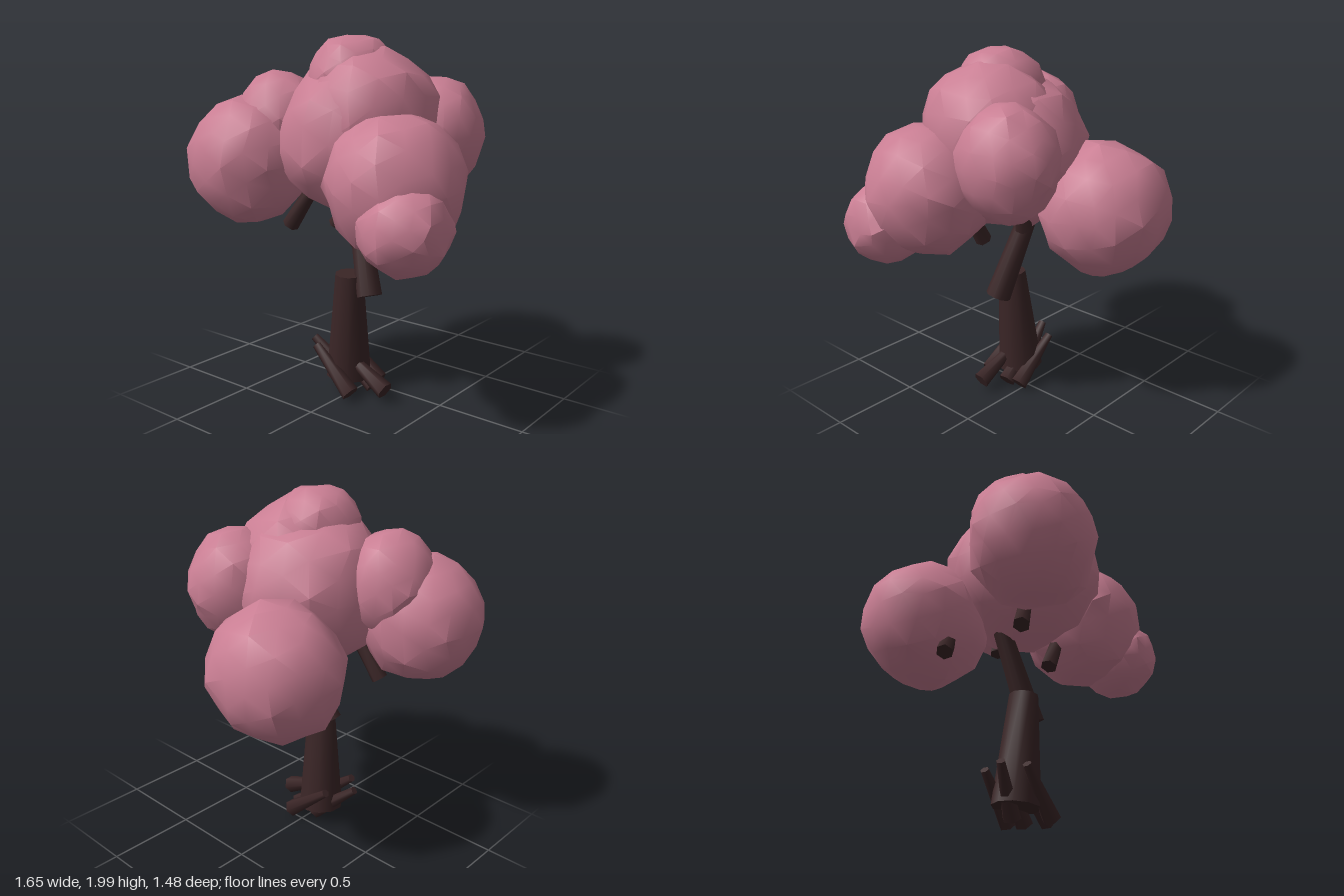
import * as THREE from 'three';
import { mergeVertices, toCreasedNormals } from 'three/addons/utils/BufferGeometryUtils.js';

const blossom = new THREE.MeshStandardMaterial({ color: 0xc97e93 });
blossom.name = 'blossom pink';
const bark = new THREE.MeshStandardMaterial({ color: 0x3a2526 });
bark.name = 'dark bark';

function seeded(seed) {
  return () => {
    seed = (seed * 16807) % 2147483647;
    return seed / 2147483647;
  };
}

// Lumpy low-poly foliage ball
function puff(name, [x, y, z], [rx, ry, rz], seed) {
  let geo = new THREE.IcosahedronGeometry(1, 2);
  geo.deleteAttribute('uv');
  geo.deleteAttribute('normal');
  geo = mergeVertices(geo, 1e-4);
  const rand = seeded(seed * 7919 + 13);
  const pos = geo.attributes.position;
  const v = new THREE.Vector3();
  for (let i = 0; i < pos.count; i++) {
    v.fromBufferAttribute(pos, i);
    v.x += (rand() - 0.5) * 0.09;
    v.y += (rand() - 0.5) * 0.09;
    v.z += (rand() - 0.5) * 0.09;
    pos.setXYZ(i, v.x * rx, v.y * ry, v.z * rz);
  }
  const mesh = new THREE.Mesh(toCreasedNormals(geo, 0.6), blossom);
  mesh.position.set(x, y, z);
  mesh.name = name;
  return mesh;
}

// Tapered wooden limb from a to b
function limb(name, a, b, ra, rb, sides) {
  const start = new THREE.Vector3(...a), end = new THREE.Vector3(...b);
  const dir = end.clone().sub(start);
  const geo = toCreasedNormals(new THREE.CylinderGeometry(rb, ra, dir.length(), sides), 1.1);
  const mesh = new THREE.Mesh(geo, bark);
  mesh.position.copy(start).add(end).multiplyScalar(0.5);
  mesh.quaternion.setFromUnitVectors(new THREE.Vector3(0, 1, 0), dir.normalize());
  mesh.name = name;
  return mesh;
}

export function createModel() {
  const tree = new THREE.Group();
  tree.name = 'blossomTree';

  // Trunk in two offset sections
  tree.add(limb('lowerTrunk', [-0.055, 0.09, 0.11], [-0.02, 0.7, 0.145], 0.13, 0.08, 10));
  tree.add(limb('upperTrunk', [0.112, 0.59, 0.13], [-0.1, 1.22, 0.01], 0.072, 0.047, 10));

  // Roots, thick at the ground end
  const roots = [
    [[-0.04, 0.045, 0.08], [-0.29, 0.265, 0.14]],
    [[0.07, 0.045, 0.25], [-0.19, 0.265, 0.235]],
    [[0.08, 0.045, 0.0], [-0.19, 0.265, 0.0]],
    [[0.24, 0.075, 0.155], [-0.05, 0.22, 0.14]],
    [[0.1, 0.045, 0.08], [-0.12, 0.21, 0.1]],
  ];
  roots.forEach(([a, b]) => tree.add(limb('root', a, b, 0.052, 0.024, 6)));

  // Branch stubs reaching into the foliage
  const branches = [
    [[-0.37, 0.875, -0.15], [-0.2, 1.12, -0.19]],
    [[-0.335, 0.955, 0.28], [-0.21, 1.15, 0.25]],
    [[0.12, 1.05, -0.08], [0.17, 1.3, -0.1]],
    [[0.11, 0.905, 0.24], [0.23, 1.14, 0.26]],
  ];
  branches.forEach(([a, b]) => tree.add(limb('branch', a, b, 0.047, 0.038, 6)));

  // Foliage: name, centre, radii
  const puffs = [
    ['crownFoliage', [0.03, 1.45, 0.125], [0.43, 0.42, 0.455]],
    ['upperFoliage', [0.13, 1.555, 0.145], [0.37, 0.38, 0.37]],
    ['topFoliage', [0.04, 1.76, 0.17], [0.235, 0.24, 0.25]],
    ['leftFoliage', [0.425, 1.265, 0.325], [0.36, 0.36, 0.355]],
    ['smallLeftFoliage', [0.597, 1.09, 0.48], [0.23, 0.225, 0.235]],
    ['rightFoliage', [-0.49, 1.32, 0.415], [0.335, 0.35, 0.335]],
    ['smallRightFoliage', [-0.38, 1.52, 0.285], [0.25, 0.29, 0.26]],
    ['backLeftFoliage', [0.33, 1.475, -0.165], [0.265, 0.305, 0.28]],
    ['backFoliage', [-0.185, 1.165, -0.39], [0.365, 0.365, 0.36]],
  ];
  puffs.forEach(([name, c, r], i) => tree.add(puff(name, c, r, i + 1)));
  return tree;
}
